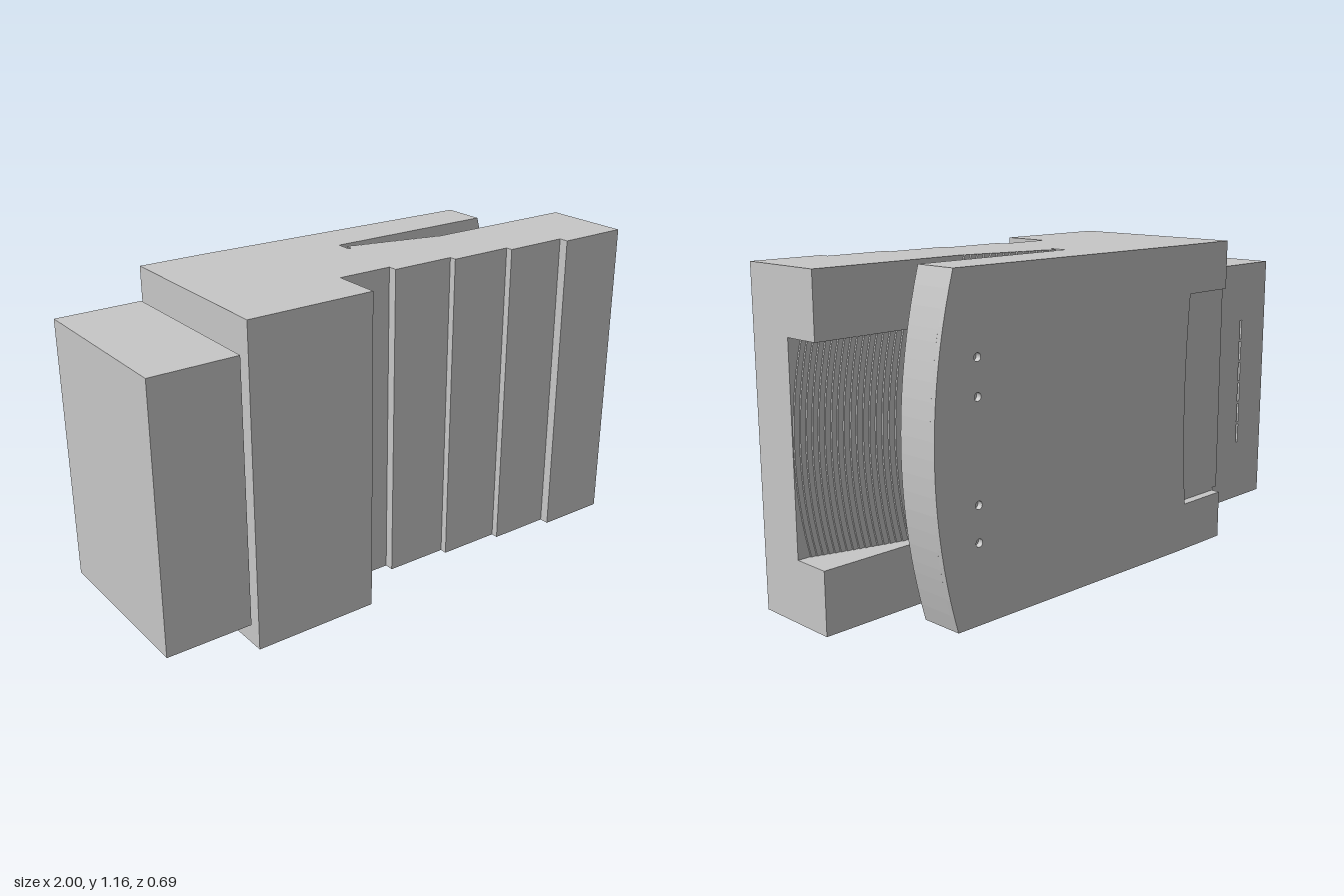
import * as THREE from 'three';

const H = 1.16;
const STEPS = 37;
const LID_X = 0.692;
const SKIN = 0.02;

// Sideways bulge shared by the lid edge and the ribs
const bulge = (y) => 0.085 * (1 - ((y - H / 2) / (H / 2)) ** 2);

// Gently sloped back of the lid
const lidZ = (x) => -0.345 + (x + 0.4) * 0.0255;

// Plan outline [x, z] at height y, counter-clockwise from above
function outline(y, recessed, pocketed) {
  const s = bulge(y);
  const r = s * 1.38;
  const pts = [
    [-0.66, 0.345], [-0.193, 0.345], [-0.193, 0.166], [0.01, 0.166], [0.01, 0.2],
    [0.25, 0.2], [0.25, 0.226], [0.49, 0.226], [0.49, 0.252], [0.73, 0.252], [0.73, 0.287], [1, 0.287],
  ];
  // ribbed ramp, cut off by the flat lip where there is no recess
  const first = recessed ? 0 : 23;
  const rampZ = (k) => 0.1 - (0.225 * k) / STEPS;
  pts.push([1, rampZ(first)]);
  for (let k = first; k < STEPS; k++) {
    const t = k / STEPS;
    const x = 0.88 - 0.689 * t - 0.146 * t * t + r;
    pts.push([x, rampZ(k)], [x, rampZ(k + 1)]);
  }
  // groove at the root of the slot, then the lid core
  pts.push([0.045 + r, -0.125], [0.045 + r, -0.1], [0.033 + r, -0.1], [0.033 + r, -0.157]);
  const end = LID_X + s;
  pts.push([end, -0.157], [end, lidZ(end) + SKIN], [-0.4, lidZ(-0.4) + SKIN], [-0.4, -0.345]);
  // shallow pocket with a bowed end
  if (pocketed) {
    const px = -0.46 + s * 0.45;
    pts.push([px, -0.345], [px, -0.31], [-0.66, -0.31]);
  } else pts.push([-0.66, -0.345]);
  return pts;
}

// Loft the outline between two heights, with end caps
function slab(y0, y1, recessed, pocketed) {
  const rows = Math.max(1, Math.ceil((y1 - y0) / 0.06));
  const pos = [];
  const put = (p, y) => pos.push(p[0], y, p[1]);
  const ring = (y) => outline(y, recessed, pocketed);
  for (let r = 0; r < rows; r++) {
    const ya = y0 + ((y1 - y0) * r) / rows;
    const yb = y0 + ((y1 - y0) * (r + 1)) / rows;
    const a = ring(ya), b = ring(yb);
    for (let i = 0; i < a.length; i++) {
      const j = (i + 1) % a.length;
      put(a[i], ya); put(a[j], ya); put(b[j], yb);
      put(a[i], ya); put(b[j], yb); put(b[i], yb);
    }
  }
  for (const [y, up] of [[y0, false], [y1, true]]) {
    const pts = ring(y);
    const faces = THREE.ShapeUtils.triangulateShape(pts.map(([x, z]) => new THREE.Vector2(x, -z)), []);
    for (const [a, b, c] of faces) {
      for (const i of up ? [a, b, c] : [a, c, b]) put(pts[i], y);
    }
  }
  const geo = new THREE.BufferGeometry();
  geo.setAttribute('position', new THREE.Float32BufferAttribute(pos, 3));
  geo.computeVertexNormals();
  return geo;
}

// Back skin of the lid: bowed end, four round holes, sheared to the slope
function lidSkin() {
  const shape = new THREE.Shape();
  shape.moveTo(-0.4, 0);
  for (let i = 0; i <= 20; i++) {
    const y = (H * i) / 20;
    shape.lineTo(LID_X + bulge(y), y);
  }
  shape.lineTo(-0.4, H);
  shape.closePath();
  for (const y of [0.28, 0.405, 0.755, 0.88]) {
    const hole = new THREE.Path();
    hole.absarc(0.6, y, 0.014, 0, Math.PI * 2, true);
    shape.holes.push(hole);
  }
  const geo = new THREE.ExtrudeGeometry(shape, { depth: SKIN, bevelEnabled: false, curveSegments: 16 });
  const p = geo.attributes.position;
  for (let i = 0; i < p.count; i++) p.setZ(i, p.getZ(i) + lidZ(p.getX(i)));
  geo.computeVertexNormals();
  return geo;
}

function rect(Type, x0, x1, y0, y1) {
  const p = new Type();
  p.moveTo(x0, y0);
  p.lineTo(x1, y0);
  p.lineTo(x1, y1);
  p.lineTo(x0, y1);
  p.closePath();
  return p;
}

export function createModel() {
  const model = new THREE.Group();
  const grey = new THREE.MeshStandardMaterial({ color: 0xc7c7c7 });
  grey.name = 'light grey';

  const add = (name, geo, parent = model) => {
    const mesh = new THREE.Mesh(geo, grey);
    mesh.name = name;
    parent.add(mesh);
    return mesh;
  };
  const box = (name, x0, x1, y0, y1, z0, z1) =>
    add(name, new THREE.BoxGeometry(x1 - x0, y1 - y0, z1 - z0))
      .position.set((x0 + x1) / 2, (y0 + y1) / 2, (z0 + z1) / 2);

  // Clip body with stepped front, lid, ribbed slot, end recess and rear pocket
  const body = new THREE.Group();
  body.name = 'body';
  model.add(body);
  const levels = [0, 0.18, 0.22, 0.94, 0.98, H];
  for (let i = 0; i < 5; i++) {
    add('bodySection', slab(levels[i], levels[i + 1], i === 2, i > 0 && i < 4), body);
  }
  add('lidSkin', lidSkin(), body);

  // Neck joining the body to the end block
  box('neck', -0.688, -0.66, 0.19, 0.975, -0.31, 0.05);

  // End block with a rear skin cut by a dashed slit
  box('endBlock', -1, -0.688, 0.108, 1.055, -0.275, 0.345);
  const skin = rect(THREE.Shape, -1, -0.688, 0.108, 1.055);
  for (let i = 0; i < 6; i++) {
    const y = 0.34 + i * 0.084;
    skin.holes.push(rect(THREE.Path, -0.846, -0.834, y, y + 0.074));
  }
  add('slitSkin', new THREE.ExtrudeGeometry(skin, { depth: 0.02, bevelEnabled: false })).position.z = -0.295;
  return model;
}
